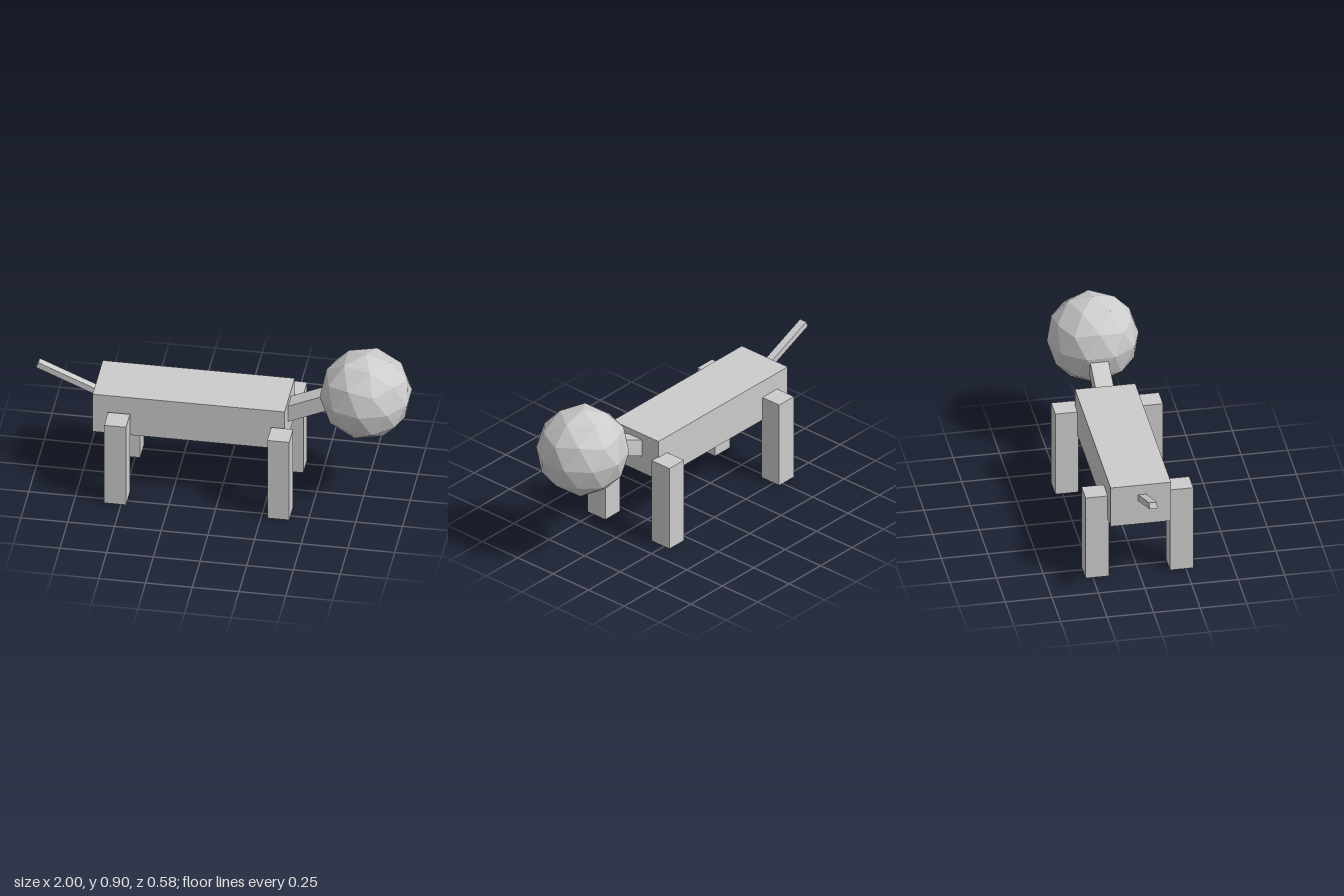
import * as THREE from 'three';

export function createModel() {
  const model = new THREE.Group();
  const grey = new THREE.MeshStandardMaterial({ color: 0xcccccc });
  grey.name = 'grey';

  const addBox = (name, size, position, tilt = 0) => {
    const mesh = new THREE.Mesh(new THREE.BoxGeometry(...size), grey);
    mesh.name = name;
    mesh.position.set(...position);
    mesh.rotation.z = tilt;
    model.add(mesh);
  };

  // Slab body
  addBox('body', [1.027, 0.237, 0.324], [-0.16, 0.474, -0.008]);

  // Four separate block legs, just outside the body
  for (const [end, x] of [['rear', -0.531], ['front', 0.342]]) {
    for (const [side, z] of [['Near', 0.227], ['Far', -0.226]]) {
      addBox(`${end}${side}Leg`, [0.117, 0.494, 0.125], [x, 0.247, z]);
    }
  }

  // Rising neck, its ends hidden in the body and head
  addBox('neck', [0.32, 0.09, 0.098], [0.47, 0.559, -0.005], 0.42);

  // Thin tail rising from the rear
  addBox('tail', [0.38, 0.034, 0.043], [-0.819, 0.579, -0.001], -0.41);

  // Faceted ball head, turned so that a vertex points straight up
  const ball = new THREE.IcosahedronGeometry(0.247, 1);
  ball.rotateZ(-Math.atan(2 / (1 + Math.sqrt(5))));
  ball.computeVertexNormals();
  const head = new THREE.Mesh(ball, grey);
  head.name = 'head';
  head.position.set(0.763, 0.657, 0.002);
  model.add(head);

  return model;
}
